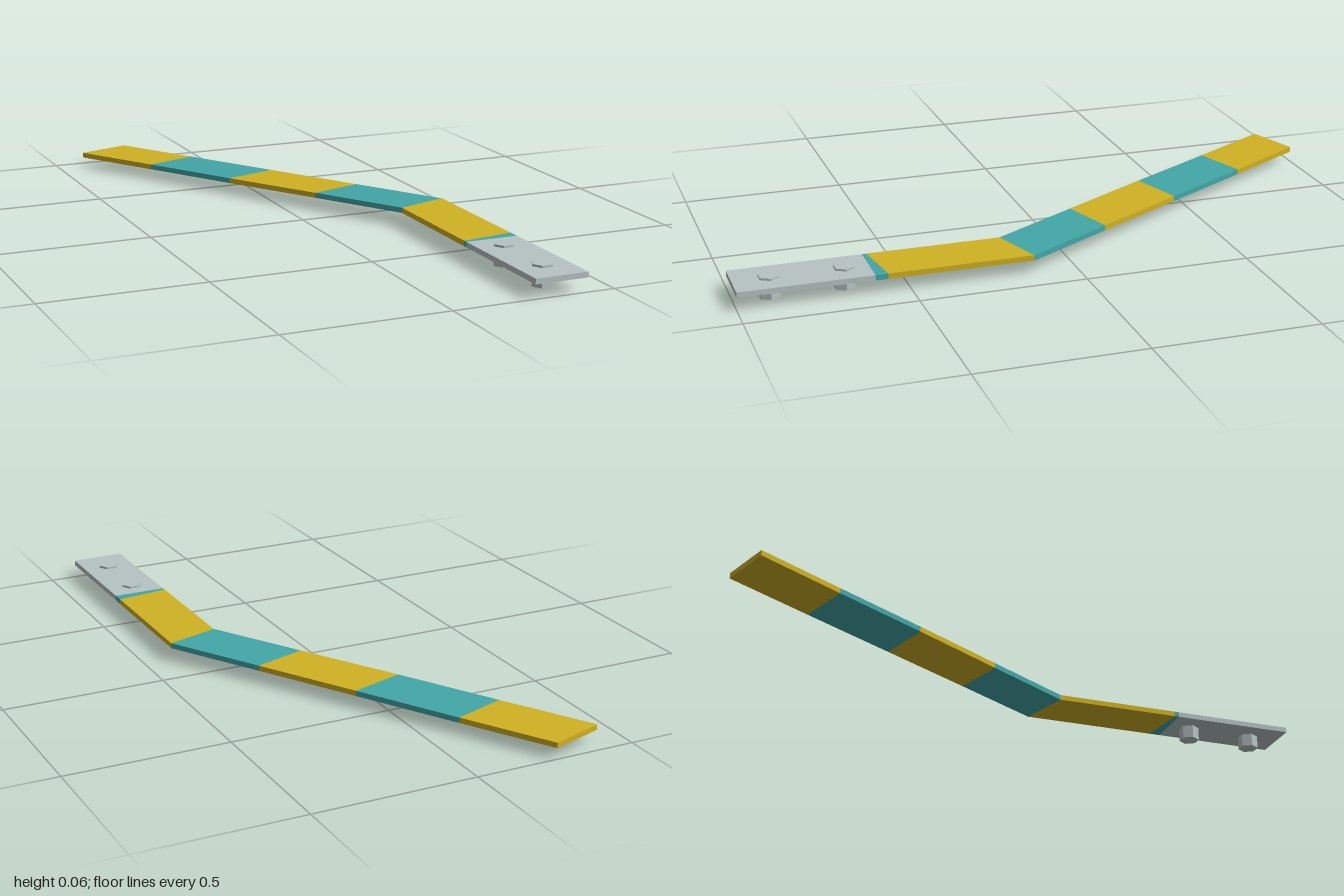
import * as THREE from 'three';

const mat = (name, color) => {
  const m = new THREE.MeshStandardMaterial({ color });
  m.name = name;
  return m;
};

const THICKNESS = 0.0165;
// The bar is level up to its bend, then sinks gently towards the far tip
const topY = (z) => 0.0585 - 0.0078 * Math.max(0, 0.16 - z);

// One coloured length of bar between two cuts; each cut is [xLeft, zLeft, xRight, zRight]
function barSegment(name, near, far, material, capNear, capFar) {
  const ring = ([x0, z0, x1, z1]) => [
    [x0, topY(z0), z0], [x1, topY(z1), z1],
    [x1, topY(z1) - THICKNESS, z1], [x0, topY(z0) - THICKNESS, z0],
  ];
  const a = ring(near), b = ring(far), pos = [];
  const quad = (p, q, r, s) => pos.push(...p, ...q, ...r, ...p, ...r, ...s);
  for (let i = 0; i < 4; i++) {
    const j = (i + 1) % 4;
    quad(a[i], a[j], b[j], b[i]);
  }
  if (capNear) quad(a[3], a[2], a[1], a[0]);
  if (capFar) quad(b[0], b[1], b[2], b[3]);
  const geo = new THREE.BufferGeometry();
  geo.setAttribute('position', new THREE.Float32BufferAttribute(pos, 3));
  geo.computeVertexNormals();
  const mesh = new THREE.Mesh(geo, material);
  mesh.name = name;
  return mesh;
}

export function createModel() {
  const group = new THREE.Group();
  group.name = 'bentStripedBar';
  const steel = mat('steelGrey', 0xb7c3c3);
  const yellow = mat('yellow', 0xd0b222);
  const teal = mat('teal', 0x43a7a7);
  steel.flatShading = false;

  // Cuts from the mounting end, round the bend, to the tip
  const cuts = [
    [0.25, 1, 0.416, 1],
    [0.25, 0.605, 0.416, 0.605],
    [0.25, 0.592, 0.416, 0.568],
    [0.25, 0.187, 0.416, 0.133],
    [0.084, -0.093, 0.25, -0.147],
    [-0.092, -0.388, 0.077, -0.442],
    [-0.262, -0.68, -0.096, -0.737],
    [-0.418, -0.945, -0.252, -1],
  ];
  const bands = [
    ['mountingPlate', steel], ['tealEdge', teal], ['yellowBandInner', yellow],
    ['tealBandInner', teal], ['yellowBandMiddle', yellow],
    ['tealBandOuter', teal], ['yellowTip', yellow],
  ];
  bands.forEach(([name, material], i) => {
    group.add(barSegment(name, cuts[i], cuts[i + 1], material, i === 0, i === bands.length - 1));
  });

  // Hexagonal bolts passing through the mounting plate
  for (const [name, z] of [['frontBolt', 0.894], ['rearBolt', 0.677]]) {
    const geo = new THREE.CylinderGeometry(0.0325, 0.0325, 0.065, 6, 1, false, Math.PI / 6 * 3).toNonIndexed();
    geo.computeVertexNormals();
    const bolt = new THREE.Mesh(geo, steel);
    bolt.name = name;
    bolt.position.set(0.3325, 0.0325, z);
    group.add(bolt);
  }
  return group;
}
